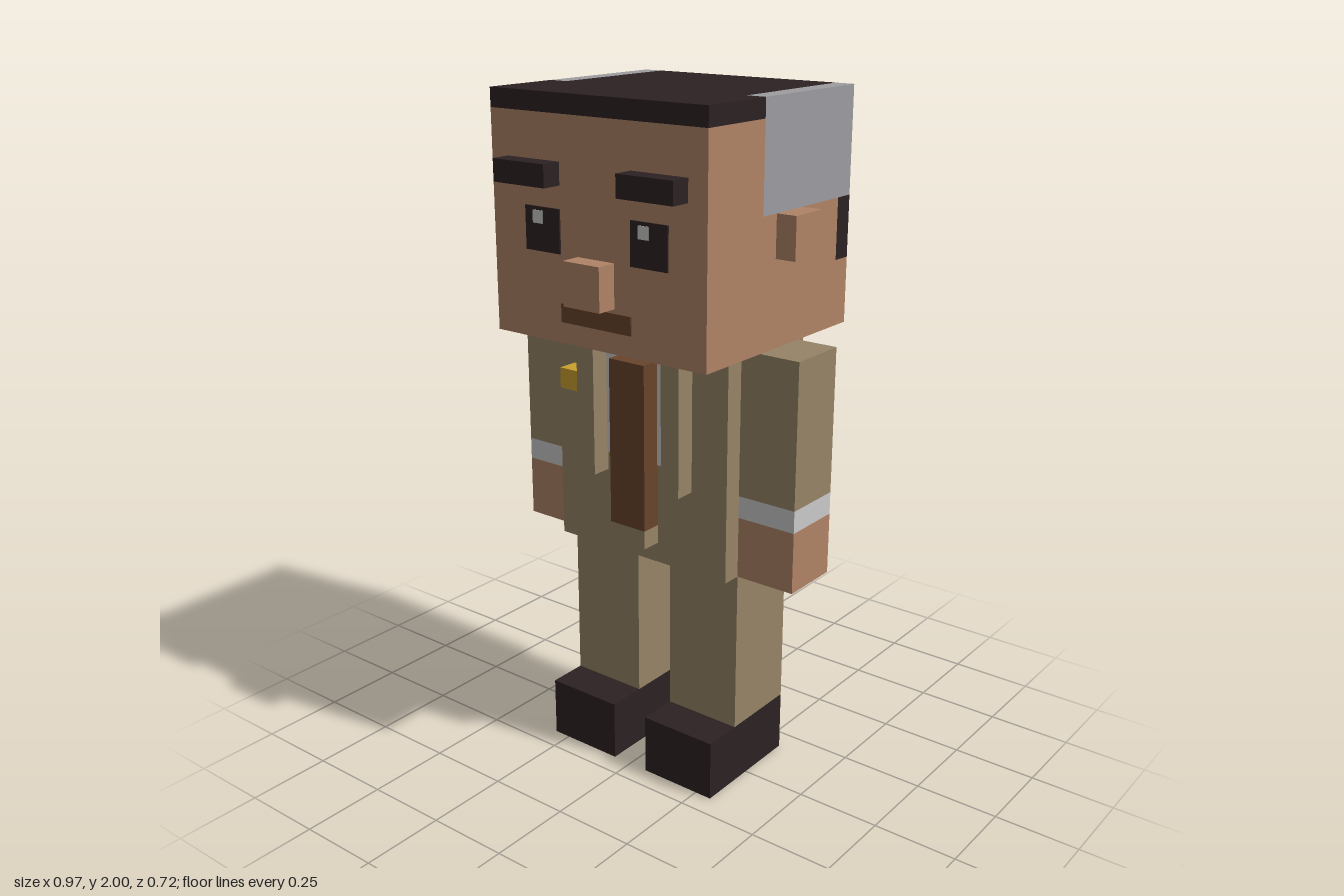
import * as THREE from 'three';

const mat = (name, color) => {
  const m = new THREE.MeshStandardMaterial({ color });
  m.name = name;
  return m;
};

export function createModel() {
  const skin = mat('skin', 0xb08466);
  const hair = mat('dark hair and shoes', 0x2c2122);
  const grey = mat('grey hair', 0x9d9ca0);
  const suit = mat('tan suit', 0x968466);
  const white = mat('white cloth', 0xcacaca);
  const brown = mat('brown', 0x69442b);
  const gold = mat('gold', 0xc9a02c);

  const model = new THREE.Group();
  model.name = 'blockFigure';

  // Box given by its limits on each axis
  const box = (parent, name, material, [x0, x1], [y0, y1], [z0, z1]) => {
    const mesh = new THREE.Mesh(new THREE.BoxGeometry(x1 - x0, y1 - y0, z1 - z0), material);
    mesh.position.set((x0 + x1) / 2, (y0 + y1) / 2, (z0 + z1) / 2);
    mesh.name = name;
    parent.add(mesh);
  };
  // The same box on both sides of x = 0
  const pair = (parent, name, material, [x0, x1], y, z) => {
    box(parent, 'left' + name, material, [x0, x1], y, z);
    box(parent, 'right' + name, material, [-x1, -x0], y, z);
  };
  const group = (name) => {
    const g = new THREE.Group();
    g.name = name;
    model.add(g);
    return g;
  };

  // Head: skin and hair blocks that fit together into one cube
  const head = group('head');
  const wide = [-0.362, 0.362];
  box(head, 'jaw', skin, wide, [1.335, 1.525], [-0.362, 0.302]);
  box(head, 'cheeks', skin, wide, [1.525, 1.7], [-0.302, 0.302]);
  box(head, 'forehead', skin, wide, [1.7, 1.947], [0.062, 0.302]);
  box(head, 'hairNape', hair, wide, [1.525, 1.7], [-0.362, -0.302]);
  box(head, 'hairCrown', hair, [-0.304, 0.304], [1.7, 2], [-0.362, 0.062]);
  box(head, 'hairFringe', hair, wide, [1.947, 2], [0.062, 0.302]);
  pair(head, 'HairSide', grey, [0.304, 0.362], [1.7, 2], [-0.362, 0.062]);

  // Face
  pair(head, 'Ear', skin, [0.362, 0.423], [1.58, 1.7], [-0.121, 0]);
  pair(head, 'Eyebrow', hair, [0.121, 0.302], [1.762, 1.824], [0.302, 0.362]);
  pair(head, 'Eye', hair, [0.121, 0.242], [1.58, 1.7], [0.302, 0.307]);
  for (const x of [-0.214, 0.148])
    box(head, 'eyeGlint', white, [x, x + 0.034], [1.655, 1.69], [0.307, 0.309]);
  box(head, 'nose', skin, [-0.062, 0.062], [1.458, 1.58], [0.302, 0.362]);
  box(head, 'mouth', brown, [-0.121, 0.121], [1.395, 1.447], [0.302, 0.307]);

  // Jacket, shirt and tie
  const torso = group('torso');
  box(torso, 'jacket', suit, [-0.302, 0.302], [0.67, 1.335], [-0.242, 0.121]);
  box(torso, 'shirtFront', white, [-0.121, 0.121], [0.97, 1.335], [0.121, 0.124]);
  pair(torso, 'Lapel', suit, [0.121, 0.182], [0.915, 1.335], [0.121, 0.182]);
  box(torso, 'tie', brown, [-0.062, 0.062], [0.785, 1.275], [0.121, 0.182]);
  box(torso, 'jacketButtonFlap', suit, [-0.062, 0.062], [0.73, 0.785], [0.121, 0.182]);
  box(torso, 'badge', gold, [-0.245, -0.182], [1.155, 1.215], [0.121, 0.182]);

  // Arms
  const arms = group('arms');
  const armX = [0.302, 0.485], armZ = [-0.121, 0.062];
  pair(arms, 'Sleeve', suit, armX, [0.915, 1.335], armZ);
  pair(arms, 'Cuff', white, armX, [0.85, 0.915], armZ);
  pair(arms, 'Hand', skin, armX, [0.67, 0.85], armZ);

  // Legs
  const legs = group('legs');
  pair(legs, 'Leg', suit, [0.06, 0.302], [0.182, 0.67], [-0.182, 0.062]);
  pair(legs, 'Shoe', hair, [0.06, 0.302], [0, 0.182], [-0.182, 0.182]);

  return model;
}
